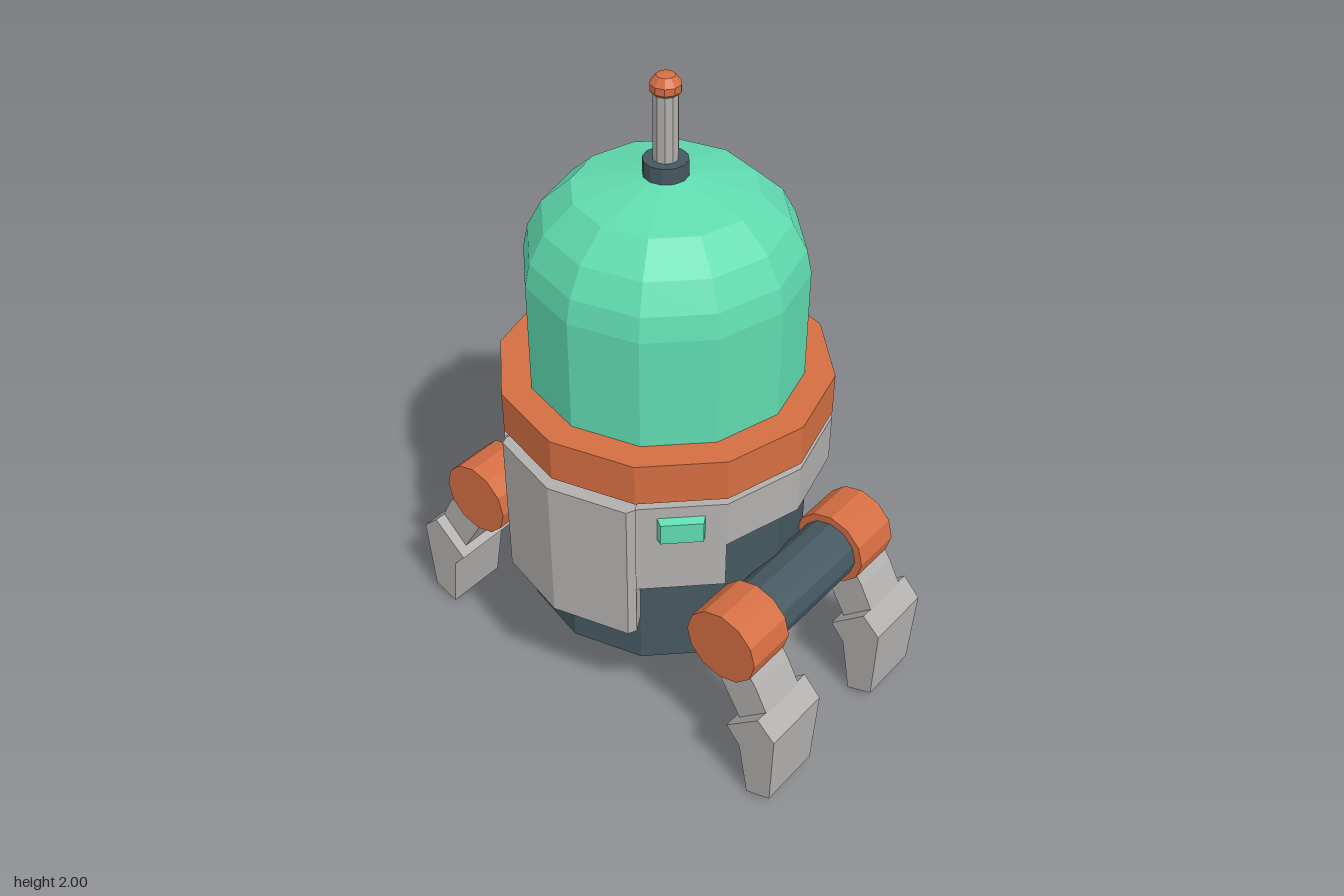
import * as THREE from 'three';

const material = (name, color) => {
  const m = new THREE.MeshStandardMaterial({ color });
  m.name = name;
  return m;
};

// one normal per face, for the low-poly look
const faceted = (geometry) => {
  const g = geometry.index ? geometry.toNonIndexed() : geometry;
  g.computeVertexNormals();
  return g;
};

export function createModel() {
  const green = material('mint green', 0x60dbb0);
  const orange = material('burnt orange', 0xd46e42);
  const grey = material('warm grey', 0xb2b0ae);
  const dark = material('dark slate', 0x455860);

  const model = new THREE.Group();
  model.name = 'robot';
  const torso = new THREE.Group();
  torso.name = 'torso';
  torso.position.z = -0.01;
  model.add(torso);

  const add = (parent, name, geometry, mat) => {
    const mesh = new THREE.Mesh(faceted(geometry), mat);
    mesh.name = name;
    parent.add(mesh);
    return mesh;
  };
  // turned part from [radius, height] pairs, bottom to top
  const turned = (name, profile, sides, mat) =>
    add(torso, name, new THREE.LatheGeometry(profile.map(([r, y]) => new THREE.Vector2(r, y)), sides), mat);
  // drum between two heights
  const drum = (name, r, y0, y1, mat, sides = 12) =>
    turned(name, [[0, y0], [r, y0], [r, y1], [0, y1]], sides, mat);
  // plan outline from [radius, degrees from the front], raised between two heights
  const plate = (name, outline, y0, y1, mat) => {
    const pts = outline.map(([r, deg]) => {
      const a = THREE.MathUtils.degToRad(deg);
      return new THREE.Vector2(r * Math.sin(a), -r * Math.cos(a));
    });
    const g = new THREE.ExtrudeGeometry(new THREE.Shape(pts), { depth: y1 - y0, bevelEnabled: false });
    g.rotateX(-Math.PI / 2).translate(0, y0, 0);
    return add(torso, name, g, mat);
  };

  // body and collar
  drum('body', 0.424, 0.31, 0.94, dark);
  drum('neck', 0.452, 0.9, 0.98, grey);
  drum('collarRing', 0.487, 0.97, 1.1, orange);

  // armour band around the sides and back, with lower side panels
  const outer = [], inner = [];
  for (let deg = 30; deg <= 330; deg += 30) {
    outer.push([0.487, deg]);
    inner.unshift([0.41, deg]);
  }
  plate('armourBand', [...outer, ...inner], 0.8, 0.95, grey);
  for (const s of [-1, 1]) {
    plate(s > 0 ? 'leftPanel' : 'rightPanel',
      [[0.487, s * 30], [0.487, s * 60], [0.41, s * 60], [0.41, s * 30]], 0.65, 0.8, grey);
  }
  // raised front plate with chamfered sides
  plate('frontPlate', [[0.41, -30], [0.483, -30], [0.5, -27.5], [0.505, 0],
    [0.5, 27.5], [0.483, 30], [0.41, 30], [0.41, 0]], 0.48, 0.945, grey);

  // small lamp on the left shoulder, narrowing outwards
  const lampGeo = new THREE.BoxGeometry(0.14, 0.085, 0.04);
  const lp = lampGeo.attributes.position;
  for (let i = 0; i < lp.count; i++) {
    if (lp.getZ(i) > 0) lp.setXY(i, lp.getX(i) * 0.85, lp.getY(i) * 0.78);
  }
  const lamp = add(torso, 'lamp', lampGeo, green);
  lamp.position.set(0.336, 0.874, 0.336);
  lamp.rotation.y = Math.PI / 4;

  // dome and antenna
  turned('dome', [[0.4, 1.08], [0.4, 1.44], [0.385, 1.51], [0.342, 1.59], [0.258, 1.667], [0, 1.722]], 12, green);
  drum('antennaBase', 0.063, 1.68, 1.755, dark);
  drum('antennaRod', 0.035, 1.74, 1.95, grey, 10);
  turned('antennaTip', [[0, 1.93], [0.026, 1.935], [0.043, 1.953], [0.043, 1.973], [0.026, 1.995], [0, 2]], 10, orange);

  // thruster underneath
  turned('thruster', [[0, 0.133], [0.12, 0.133], [0.15, 0.165], [0.157, 0.32]], 12, green);

  // legs: axle, joints, struts and feet on each side
  const strutOutline = [[0.45, 0.46], [0.56, 0.5], [0.61, 0.43], [0.655, 0.345], [0.57, 0.25], [0.48, 0.4]];
  const footOutline = [[0.537, 0.25], [0.648, 0.355], [0.706, 0.298], [0.695, 0.037], [0.612, 0.004], [0.583, 0.195]];
  const slab = (outline, s, depth) => new THREE.ExtrudeGeometry(
    new THREE.Shape(outline.map(([x, y]) => new THREE.Vector2(s * x, y))),
    { depth, bevelEnabled: false }).translate(0, 0, -depth / 2);

  for (const s of [-1, 1]) {
    const side = new THREE.Group();
    side.name = s > 0 ? 'leftLegs' : 'rightLegs';
    model.add(side);

    const axle = add(side, 'axle', new THREE.CylinderGeometry(0.096, 0.096, 0.42, 12).rotateX(Math.PI / 2), dark);
    axle.position.set(s * 0.485, 0.515, -0.012);

    for (const [end, z] of [['front', 0.251], ['back', -0.274]]) {
      const leg = new THREE.Group();
      leg.name = end + 'Leg';
      leg.position.z = z;
      side.add(leg);

      const joint = add(leg, 'joint', new THREE.CylinderGeometry(0.12, 0.12, 0.161, 12).rotateX(Math.PI / 2), orange);
      joint.position.set(s * 0.485, 0.515, 0);
      add(leg, 'strut', slab(strutOutline, s, 0.152), grey);

      // foot narrows slightly towards the ground
      const foot = slab(footOutline, s, 0.225);
      const p = foot.attributes.position;
      for (let i = 0; i < p.count; i++) p.setZ(i, p.getZ(i) * (0.89 + 0.11 * Math.min(1, p.getY(i) / 0.35)));
      add(leg, 'foot', foot, grey);
    }
  }
  return model;
}
